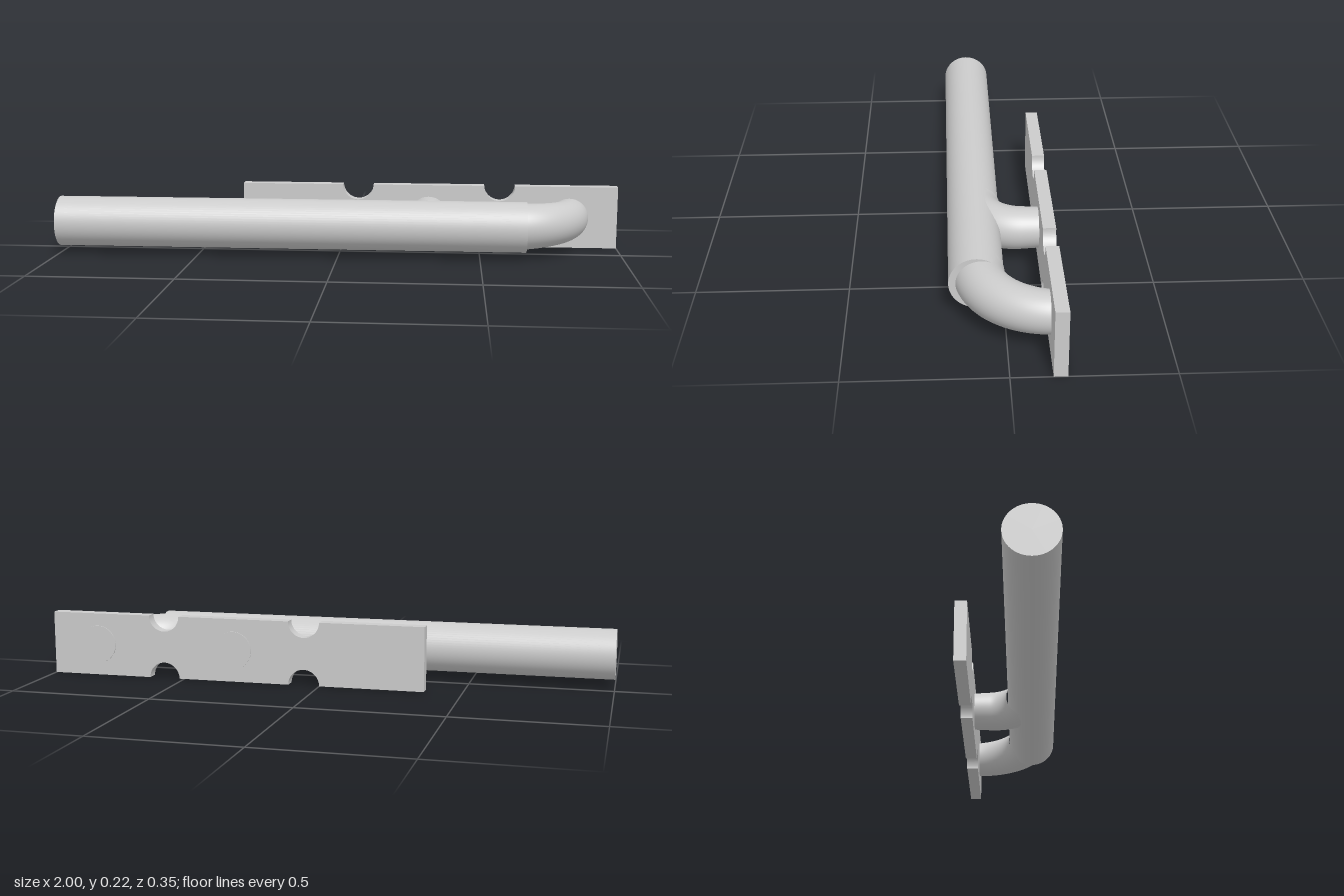
import * as THREE from 'three';

const MID_Y = 0.113;   // height of the bar axis
const BACK_Z = -0.175; // rear end of the arms

export function createModel() {
  const group = new THREE.Group();
  const material = new THREE.MeshStandardMaterial({ color: 0xcccccc });

  const add = (name, geometry, parent = group) => {
    const mesh = new THREE.Mesh(geometry, material);
    mesh.name = name;
    parent.add(mesh);
    return mesh;
  };

  // Straight round bar
  const bar = add('bar', new THREE.CylinderGeometry(0.0885, 0.0885, 1.66, 64));
  bar.rotation.z = Math.PI / 2;
  bar.position.set(-0.17, MID_Y, 0.088);

  // Mounting plate with half-round notches in both long edges
  const left = -0.37, right = 1, height = 0.225, r = 0.056;
  const notches = [0.056, 0.574];
  const shape = new THREE.Shape();
  shape.moveTo(left, 0);
  for (const x of notches) {
    shape.lineTo(x - r, 0);
    shape.absarc(x, 0, r, Math.PI, 0, true);
  }
  shape.lineTo(right, 0);
  shape.lineTo(right, height);
  for (const x of [...notches].reverse()) {
    shape.lineTo(x + r, height);
    shape.absarc(x, height, r, 0, -Math.PI, true);
  }
  shape.lineTo(left, height);
  shape.closePath();
  const plate = add('mountingPlate',
    new THREE.ExtrudeGeometry(shape, { depth: 0.043, bevelEnabled: false, curveSegments: 24 }));
  plate.position.z = -0.172;

  // Curved arm: quarter bend out of the bar, then straight through the plate, tapering
  const addArm = (name, endX, startZ, bend) => {
    const arm = new THREE.Group();
    arm.name = name;
    group.add(arm);

    const k = bend * 0.5523;
    const point = (x, z) => new THREE.Vector3(x, MID_Y, z);
    const corner = point(endX, startZ - bend);
    const path = new THREE.CurvePath();
    path.add(new THREE.CubicBezierCurve3(
      point(endX - bend, startZ), point(endX - bend + k, startZ),
      point(endX, startZ - bend + k), corner));
    path.add(new THREE.LineCurve3(corner, point(endX, BACK_Z)));

    const rings = 48, sides = 48, r0 = 0.083, r1 = 0.067;
    const tube = new THREE.TubeGeometry(path, rings, 1, sides);
    const pos = tube.attributes.position;
    const v = new THREE.Vector3();
    for (let i = 0; i <= rings; i++) {
      const centre = path.getPointAt(i / rings);
      const radius = THREE.MathUtils.lerp(r0, r1, i / rings);
      for (let j = 0; j <= sides; j++) {
        const n = i * (sides + 1) + j;
        v.fromBufferAttribute(pos, n).sub(centre).multiplyScalar(radius).add(centre);
        pos.setXYZ(n, v.x, v.y, v.z);
      }
    }
    add(name + 'Tube', tube, arm);

    const cap = add(name + 'EndCap', new THREE.CircleGeometry(r1, sides), arm);
    cap.rotation.y = Math.PI;
    cap.position.set(endX, MID_Y, BACK_Z);
  };
  addArm('endArm', 0.828, 0.08, 0.235);
  addArm('middleArm', 0.315, 0.076, 0.145);

  return group;
}
